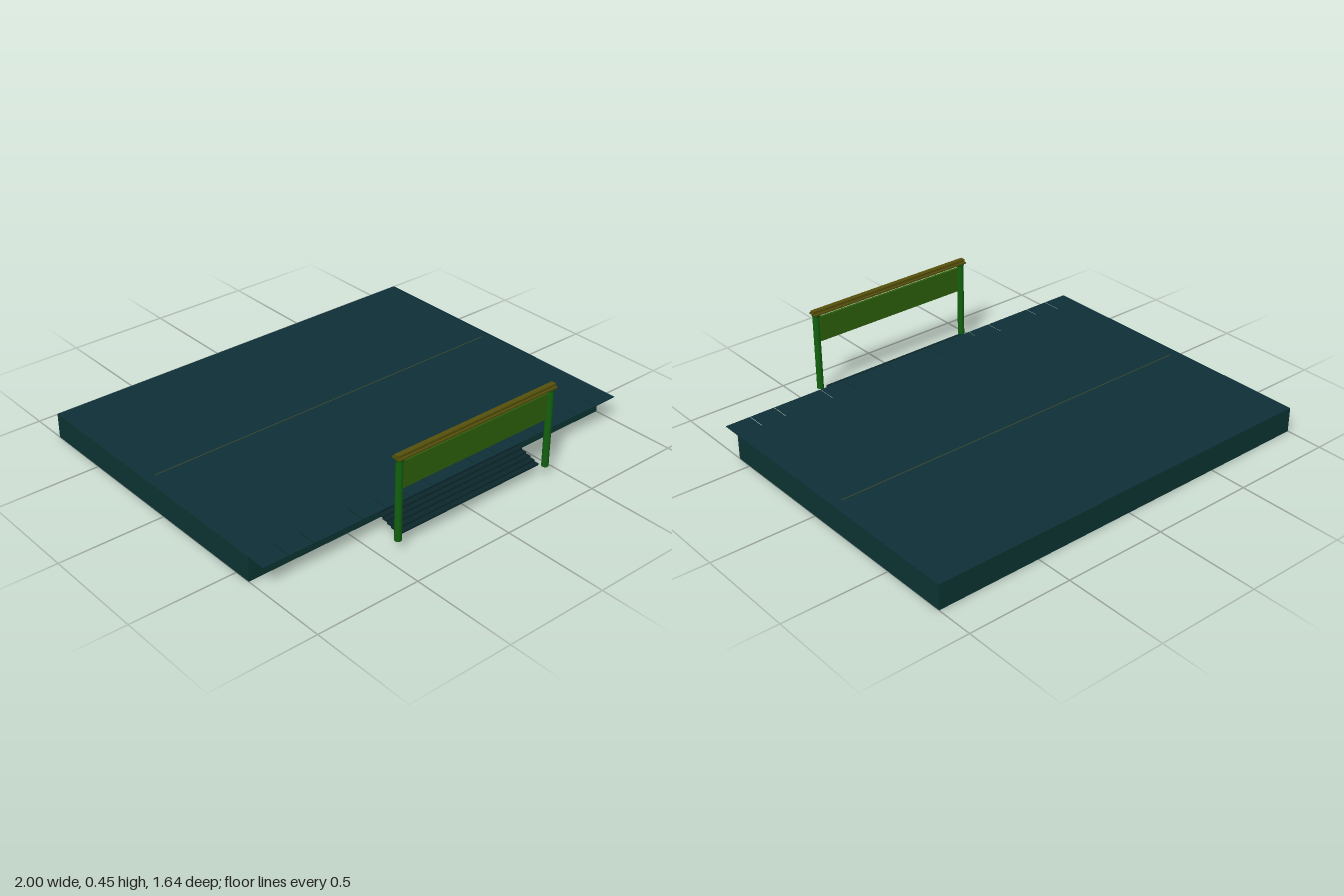
import * as THREE from 'three';

const material = (color) => new THREE.MeshStandardMaterial({ color });

export function createModel() {
  const model = new THREE.Group();
  const deckMat = material(0x0f2f37);
  const blockMat = material(0x0b3431);
  const stairMat = material(0x0c262b);
  const postMat = material(0x12600f);
  const beamMat = material(0x55500a);
  const signMat = material(0x2c5f0a);
  const seamMat = material(0x3c4a2c);

  // Box given by its two extents on each axis
  function box(name, mat, [x0, x1], [y0, y1], [z0, z1], parent = model) {
    const mesh = new THREE.Mesh(new THREE.BoxGeometry(x1 - x0, y1 - y0, z1 - z0), mat);
    mesh.name = name;
    mesh.position.set((x0 + x1) / 2, (y0 + y1) / 2, (z0 + z1) / 2);
    parent.add(mesh);
    return mesh;
  }

  // Platform: solid block with a thin deck skin
  box('platformBlock', blockMat, [-1, 1], [0, 0.118], [-0.82, 0.58]);
  box('deckTop', deckMat, [-1, 1], [0.118, 0.12], [-0.82, 0.58]);
  box('deckSeam', seamMat, [-0.95, 0.95], [0.12, 0.1215], [-0.127, -0.123]);

  // Front overhang: thin planks with narrow slits between them
  const overhang = new THREE.Group();
  overhang.name = 'frontOverhang';
  const half = [0.125, 0.25, 0.375, 0.5, 0.75, 0.875, 1];
  const edges = [...half.map((x) => -x).reverse(), ...half];
  const slit = 0.002;
  for (let i = 0; i < edges.length - 1; i++) {
    const x0 = i === 0 ? -1 : edges[i] + slit;
    const x1 = i === edges.length - 2 ? 1 : edges[i + 1] - slit;
    box('overhangPlank', deckMat, [x0, x1], [0.118, 0.12], [0.58, 0.677], overhang);
  }
  model.add(overhang);

  // Stairs: thin treads descending to the gate
  const stairs = new THREE.Group();
  stairs.name = 'stairs';
  const steps = 8;
  for (let i = 0; i < steps; i++) {
    const z = 0.58 + i * 0.025;
    const y = 0.115 - i * 0.0077;
    box('tread', stairMat, [-0.4, 0.4], [y - 0.0077, y], [z, z + 0.026], stairs);
  }
  model.add(stairs);

  // Gate: two posts with caps, a two-layer beam and a hanging sign board
  const gate = new THREE.Group();
  gate.name = 'gate';
  for (const side of [-1, 1]) {
    const post = new THREE.Mesh(new THREE.CylinderGeometry(0.016, 0.016, 0.375, 16), postMat);
    post.name = 'post';
    post.position.set(side * 0.422, 0.2375, 0.797);
    const cap = new THREE.Mesh(new THREE.CylinderGeometry(0.022, 0.018, 0.012, 16), postMat);
    cap.name = 'postCap';
    cap.position.set(side * 0.42, 0.427, 0.797);
    gate.add(post, cap);
  }
  box('beam', beamMat, [-0.44, 0.44], [0.432, 0.44], [0.775, 0.818], gate);
  box('beamRidge', beamMat, [-0.44, 0.44], [0.44, 0.452], [0.785, 0.809], gate);
  box('signBoard', signMat, [-0.403, 0.403], [0.29, 0.413], [0.791, 0.803], gate);
  model.add(gate);

  return model;
}
